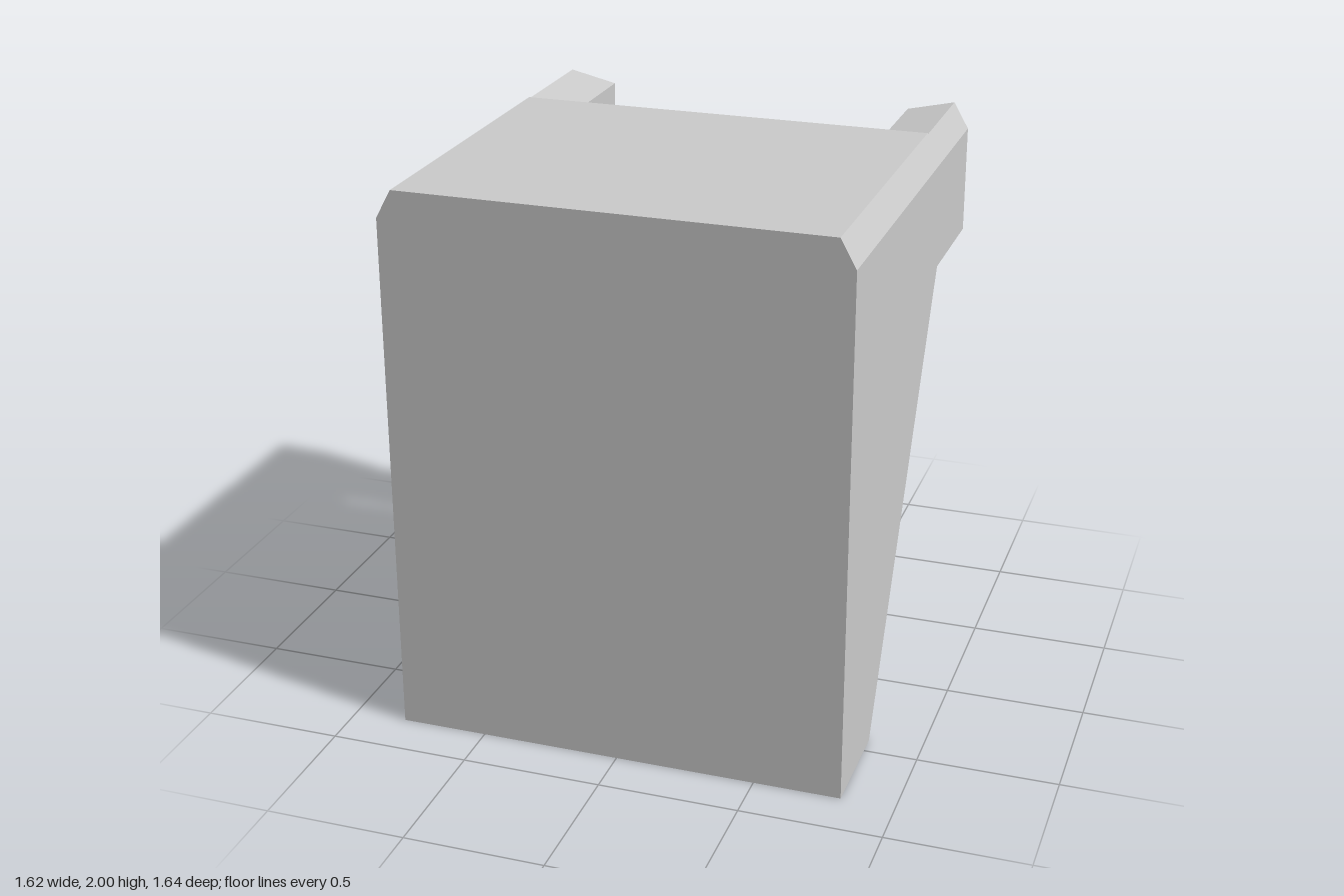
import * as THREE from 'three';

const material = new THREE.MeshStandardMaterial({ color: 0xcccccc });

// Flat-shaded geometry from convex polygons, each fanned from its first corner
function fromPolygons(polygons) {
  const points = [];
  for (const p of polygons) {
    for (let i = 1; i < p.length - 1; i++) points.push(p[0], p[i], p[i + 1]);
  }
  const geometry = new THREE.BufferGeometry().setFromPoints(points);
  geometry.computeVertexNormals();
  return geometry;
}

// Quads joining two matching closed loops
function band(a, b) {
  return a.map((p, i) => {
    const j = (i + 1) % a.length;
    return [p, a[j], b[j], b[i]];
  });
}

function addMesh(group, name, geometry) {
  const mesh = new THREE.Mesh(geometry, material);
  mesh.name = name;
  group.add(mesh);
  return mesh;
}

export function createModel() {
  const group = new THREE.Group();
  group.name = 'wedgeBlockWithRoller';
  const v = (x, y, z) => new THREE.Vector3(x, y, z);

  // Side outline of the body: z, y, half width (narrower at the chamfered top)
  const outline = [
    [0.82, 0, 0.81], [0.43, 0, 0.81], [-0.375, 1.51, 0.81], [-0.375, 1.9, 0.81],
    [-0.375, 2, 0.755], [0.82, 2, 0.755], [0.82, 1.9, 0.81],
  ];
  const left = outline.map(([z, y, w]) => v(w, y, z));
  const right = outline.map(([z, y, w]) => v(-w, y, z));

  // Sides, top chamfers and the faces across the width, leaving the slope open
  const shell = [];
  const sideCorners = [0, 1, 2, 3, 6];
  const chamferCorners = [3, 4, 5, 6];
  for (const corners of [sideCorners, chamferCorners]) {
    shell.push(corners.map(i => left[i]));
    shell.push(corners.map(i => right[i]).reverse());
  }
  outline.forEach((_, i) => {
    const j = (i + 1) % outline.length;
    if (i !== 1) shell.push([left[i], right[i], right[j], left[j]]);
  });

  // Rim around the opening in the sloping back
  const slopeEdge = [left[1], right[1], right[2], left[2]];
  const opening = [v(0.765, 0.09, 0.382), v(-0.765, 0.09, 0.382),
    v(-0.765, 1.42, -0.327), v(0.765, 1.42, -0.327)];
  shell.push(...band(slopeEdge, opening));
  addMesh(group, 'body', fromPolygons(shell));

  // Rectangular recess sunk square to the slope
  const inward = v(0, 0.805, 1.51).setLength(0.36);
  const floor = opening.map(p => p.clone().add(inward));
  addMesh(group, 'recess', fromPolygons([...band(opening, floor), floor]));

  // Two arms behind the body that carry the roller
  for (const side of [1, -1]) {
    const section = [[0.81, 1.51], [0.81, 1.9], [0.755, 1.995], [0.58, 1.955], [0.58, 1.565]];
    const shape = new THREE.Shape(section.map(([x, y]) => new THREE.Vector2(side * x, y)));
    const geometry = new THREE.ExtrudeGeometry(shape, { depth: 0.445, bevelEnabled: false });
    const arm = addMesh(group, side > 0 ? 'leftArm' : 'rightArm', geometry);
    arm.position.z = -0.82;
  }

  // Smooth roller between the arms
  const roller = addMesh(group, 'roller', new THREE.CylinderGeometry(0.165, 0.165, 1.18, 64));
  roller.rotation.z = Math.PI / 2;
  roller.position.set(0, 1.755, -0.605);

  return group;
}
